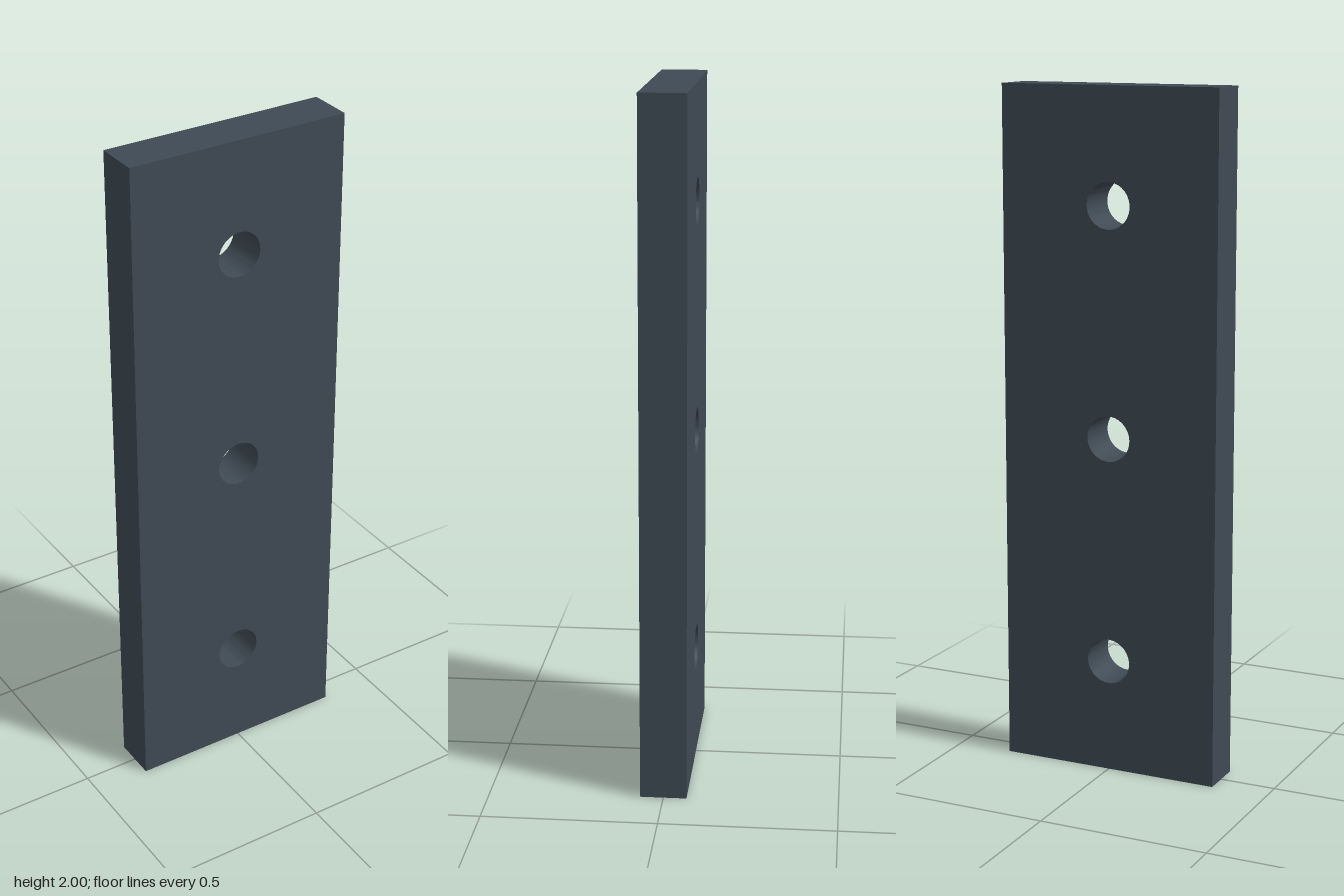
import * as THREE from 'three';
import { toCreasedNormals } from 'three/addons/utils/BufferGeometryUtils.js';

const HEIGHT = 2;
const WIDTH = HEIGHT / 3;
const DEPTH = HEIGHT / 15;
const HOLE_RADIUS = HEIGHT / 30;

export function createModel() {
  const group = new THREE.Group();
  group.name = 'drilledPlate';

  // Rectangular outline standing on the ground
  const outline = new THREE.Shape();
  outline.moveTo(-WIDTH / 2, 0);
  outline.lineTo(WIDTH / 2, 0);
  outline.lineTo(WIDTH / 2, HEIGHT);
  outline.lineTo(-WIDTH / 2, HEIGHT);
  outline.closePath();

  // Three evenly spaced round through-holes on the centre line
  for (let i = 0; i < 3; i++) {
    const hole = new THREE.Path();
    hole.absarc(0, HEIGHT * (1 + 2 * i) / 6, HOLE_RADIUS, 0, Math.PI * 2, true);
    outline.holes.push(hole);
  }

  // Solid plate, with smooth hole walls and sharp edges
  const solid = new THREE.ExtrudeGeometry(outline, {
    depth: DEPTH, bevelEnabled: false, curveSegments: 24,
  });
  solid.translate(0, 0, -DEPTH / 2);

  const plate = new THREE.Mesh(
    toCreasedNormals(solid, Math.PI / 6),
    new THREE.MeshStandardMaterial({ color: 0x3f4a54 }),
  );
  plate.name = 'plate';
  group.add(plate);
  return group;
}
